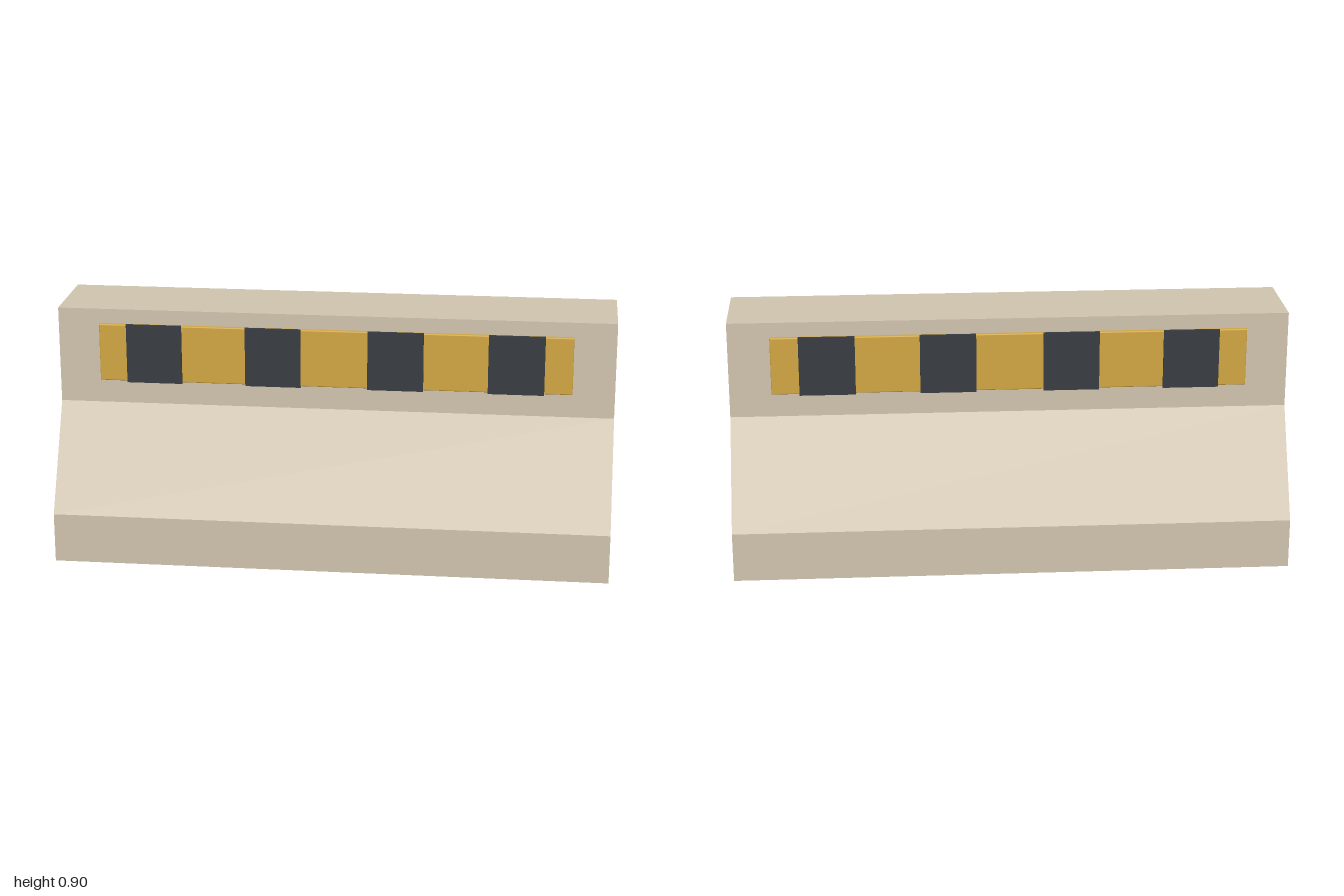
import * as THREE from 'three';
import { RoundedBoxGeometry } from 'three/addons/geometries/RoundedBoxGeometry.js';

function material(name, color) {
  const m = new THREE.MeshStandardMaterial({ color });
  m.name = name;
  return m;
}

export function createModel() {
  const concrete = material('concrete', 0xcec2ac);
  const yellow = material('yellow', 0xcfa542);
  const charcoal = material('charcoal', 0x373c42);

  const group = new THREE.Group();
  group.name = 'roadBarrier';

  function add(geometry, mat, name, parent, x = 0, y = 0, z = 0) {
    const mesh = new THREE.Mesh(geometry, mat);
    mesh.name = name;
    mesh.position.set(x, y, z);
    parent.add(mesh);
    return mesh;
  }

  // Concrete body: symmetric cross-section extruded along x
  const half = [[0.36, 0], [0.36, 0.18], [0.16, 0.55], [0.16, 0.9]];
  const outline = [...half, ...half.map(([x, y]) => [-x, y]).reverse()];
  const shape = new THREE.Shape(outline.map(([x, y]) => new THREE.Vector2(x, y)));
  const body = new THREE.ExtrudeGeometry(shape, { depth: 2, bevelEnabled: false });
  body.translate(0, 0, -1);
  body.rotateY(Math.PI / 2);
  add(body, concrete, 'body', group);

  // Warning panels with dark stripes, one on each long face
  const panel = new RoundedBoxGeometry(1.7, 0.21, 0.02, 2, 0.004);
  const stripe = new THREE.BoxGeometry(0.2, 0.216, 0.009);
  for (const [side, angle] of [['front', 0], ['back', Math.PI]]) {
    const sign = new THREE.Group();
    sign.name = side + 'WarningPanel';
    sign.rotation.y = angle;
    group.add(sign);
    add(panel, yellow, 'reflectivePanel', sign, 0, 0.742, 0.166);
    for (const x of [-0.65, -0.22, 0.22, 0.65]) {
      add(stripe, charcoal, 'stripe', sign, x, 0.742, 0.1788);
    }
  }

  return group;
}
